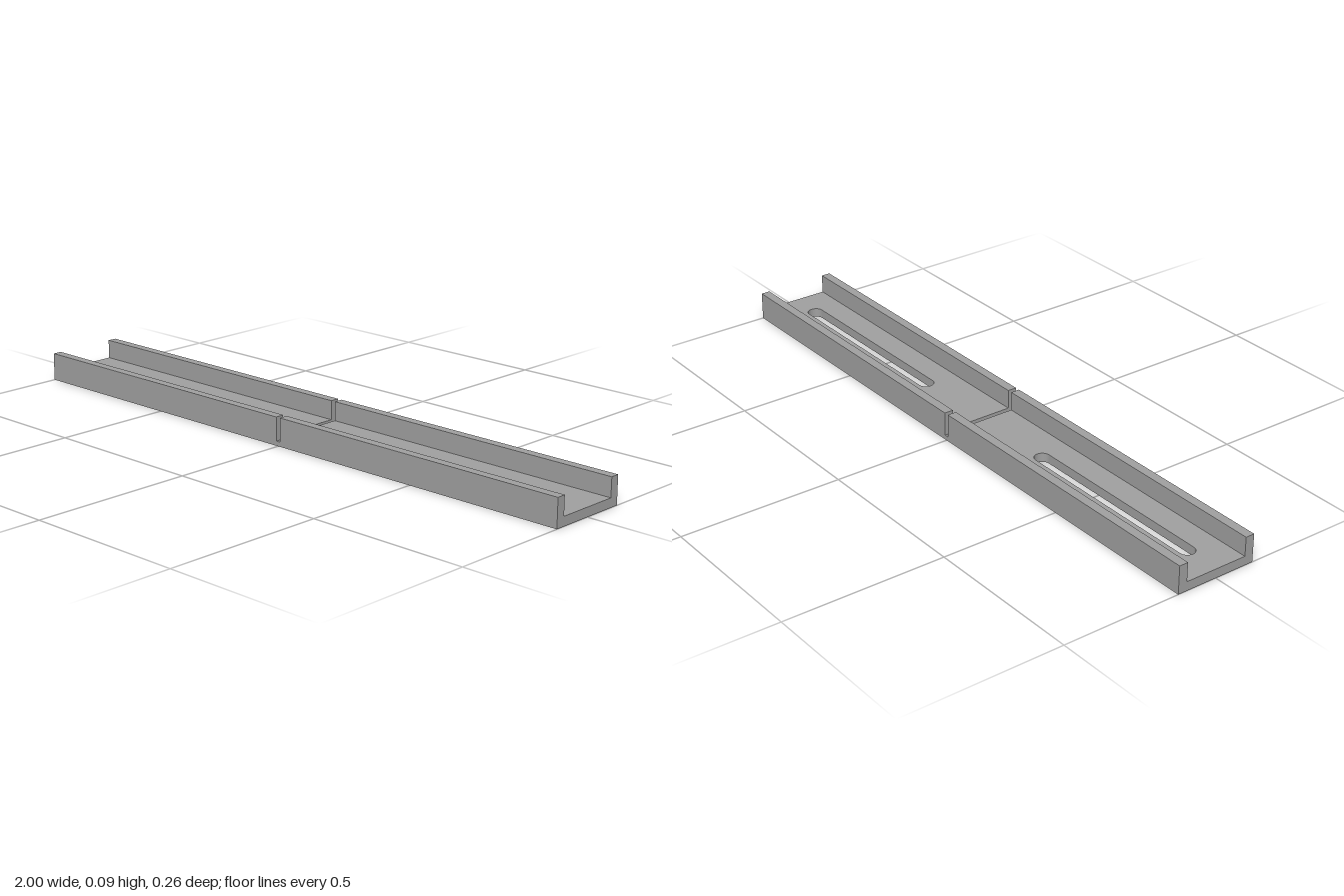
import * as THREE from 'three';

const W = 0.128, IN = 0.1;         // outer and inner half widths
const H = 0.086, FLOOR = 0.028;    // wall height, floor thickness
const GAP = 0.007, WEB = 0.014;    // centre notch half width, material left under it
const SLOT = [0.257, 0.911], R = 0.024;

export function createModel() {
  const group = new THREE.Group();
  const grey = new THREE.MeshStandardMaterial({ color: 0xa0a0a0 });
  grey.name = 'grey metal';

  const add = (name, geometry) => {
    const mesh = new THREE.Mesh(geometry, grey);
    mesh.name = name;
    group.add(mesh);
    return mesh;
  };
  const extrude = (shape, depth) =>
    new THREE.ExtrudeGeometry(shape, { depth, bevelEnabled: false, curveSegments: 16 });

  // Side walls, notched at mid length
  const wall = new THREE.Shape([
    [-1, 0], [1, 0], [1, H], [GAP, H], [GAP, WEB], [-GAP, WEB], [-GAP, H], [-1, H],
  ].map(([x, y]) => new THREE.Vector2(x, y)));
  add('frontWall', extrude(wall, W - IN)).position.z = IN;
  add('backWall', extrude(wall, W - IN)).position.z = -W;

  // Floor halves, each with a long rounded slot
  for (const side of [1, -1]) {
    const a = side > 0 ? GAP : -1, b = side > 0 ? 1 : -GAP;
    const floor = new THREE.Shape([
      new THREE.Vector2(a, -IN), new THREE.Vector2(b, -IN),
      new THREE.Vector2(b, IN), new THREE.Vector2(a, IN),
    ]);
    const [s, e] = side > 0 ? SLOT : [-SLOT[1], -SLOT[0]];
    const slot = new THREE.Path();
    slot.absarc(e - R, 0, R, -Math.PI / 2, Math.PI / 2, false);
    slot.absarc(s + R, 0, R, Math.PI / 2, Math.PI * 1.5, false);
    slot.closePath();
    floor.holes.push(slot);
    add(side > 0 ? 'leftFloor' : 'rightFloor', extrude(floor, FLOOR).rotateX(-Math.PI / 2));
  }

  // Thin web joining the halves below the notch
  add('centreWeb', new THREE.BoxGeometry(2 * GAP, WEB, 2 * IN)).position.y = WEB / 2;

  return group;
}
